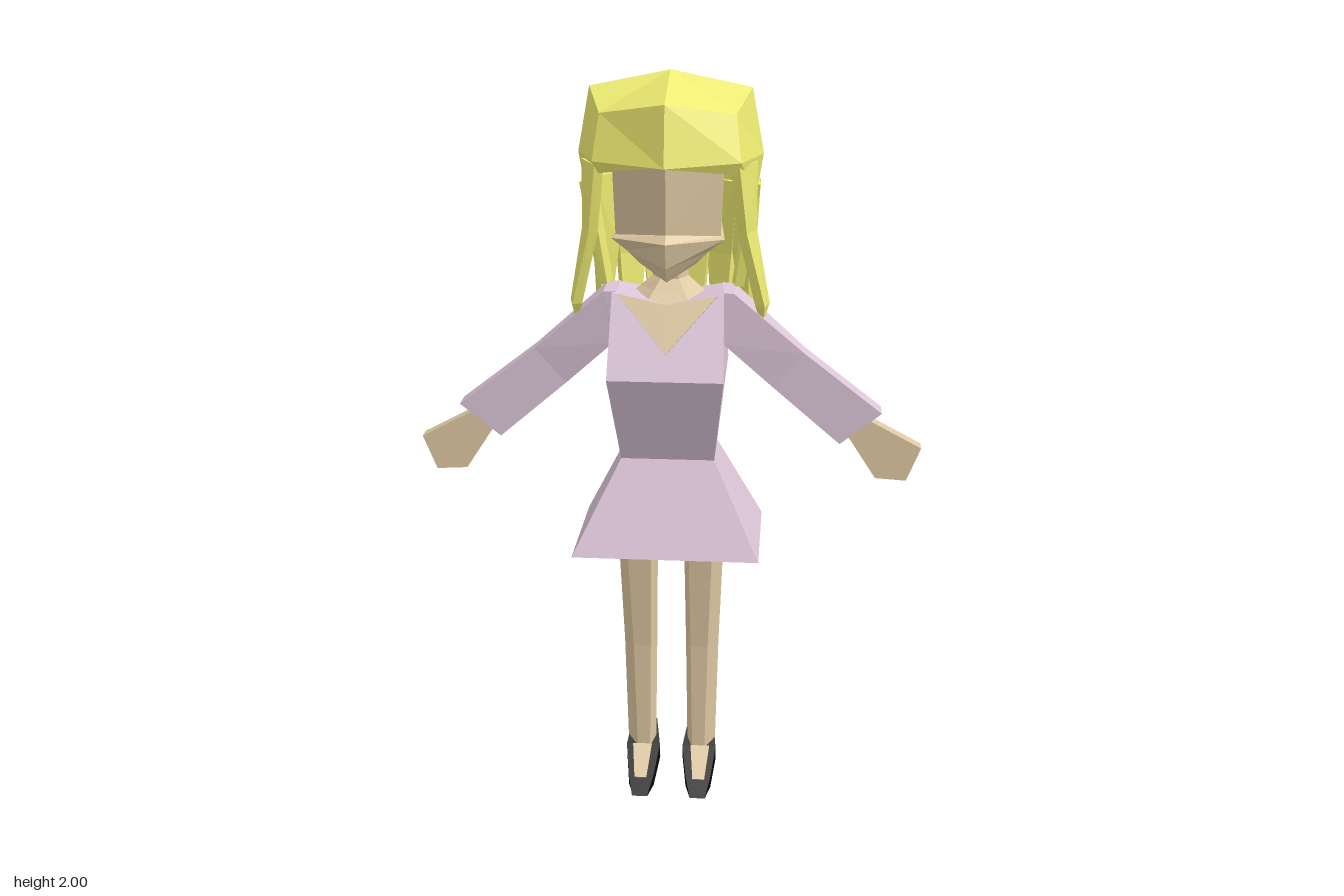
import * as THREE from 'three';

const paint = (color, side = THREE.FrontSide) =>
  new THREE.MeshStandardMaterial({ color, flatShading: true, side });
const skin = paint(0xdec8a2), cloth = paint(0xdcc5d8), shoeBlack = paint(0x0a0a0a);
const hairMat = paint(0xeeec72, THREE.DoubleSide);

// Joins cross-sections (rings of [x, y, z]) into a surface; s = -1 mirrors it across x.
function loft(name, material, rings, { s = 1, start = true, end = true } = {}) {
  const pts = rings.flat().map(([x, y, z]) => new THREE.Vector3(x * s, y, z));
  const n = rings[0].length, tris = [];
  for (let i = 0; i < rings.length - 1; i++) {
    for (let j = 0; j < n; j++) {
      const a = i * n + j, b = i * n + (j + 1) % n;
      tris.push([a, b, b + n], [a, b + n, a + n]);
    }
  }
  const last = (rings.length - 1) * n;
  for (let j = 1; j < n - 1; j++) {
    if (start) tris.push([0, j + 1, j]);
    if (end) tris.push([last, last + j, last + j + 1]);
  }
  // Turn all faces outward
  const centre = pts.reduce((c, p) => c.add(p), new THREE.Vector3()).divideScalar(pts.length);
  let volume = 0;
  for (const t of tris) {
    const [a, b, c] = t.map((k) => pts[k].clone().sub(centre));
    volume += a.dot(b.cross(c));
  }
  if (volume < 0) tris.forEach((t) => t.reverse());
  const geometry = new THREE.BufferGeometry().setFromPoints(pts);
  geometry.setIndex(tris.flat());
  geometry.computeVertexNormals();
  const mesh = new THREE.Mesh(geometry, material);
  mesh.name = name;
  return mesh;
}

// Fills out a symmetric ring from its +x half, front centre to back
function mirrored(half) {
  const other = half.filter((p) => p[0] !== 0).reverse().map(([x, y, z]) => [-x, y, z]);
  return [...half, ...other];
}

// Rectangle at height y
const rect = (y, x0, x1, z0, z1) => [[x0, y, z1], [x1, y, z1], [x1, y, z0], [x0, y, z0]];

const shift = (ring, dx, dy, dz) => ring.map(([x, y, z]) => [x + dx, y + dy, z + dz]);

// Tapering flat lock of hair along [x, y, z, width], lying around the head
function lock(path, s) {
  const rings = path.map(([x, y, z, w]) => {
    const r = Math.hypot(x, z), nx = x / r, nz = z / r, t = Math.min(0.012, w * 0.3);
    const corner = (u, v) => [x + nz * w * u + nx * t * v, y, z - nx * w * u + nz * t * v];
    return [corner(-0.5, -1), corner(0.5, -1), corner(0.5, 1), corner(-0.5, 1)];
  });
  return loft('hairLock', hairMat, rings, { s });
}

function buildHair() {
  const hair = new THREE.Group();
  hair.name = 'hair';
  // Faceted cap with a straight fringe, falling lower at the sides and back
  hair.add(loft('hairCap', hairMat, [
    mirrored([[0, 2, 0], [0.001, 2, 0], [0.002, 2, 0], [0.001, 2, 0], [0, 2, 0]]),
    mirrored([[0, 1.945, 0.2], [0.165, 1.91, 0.105], [0.2, 1.96, 0], [0.145, 1.92, -0.095], [0, 1.97, -0.13]]),
    mirrored([[0, 1.8, 0.23], [0.18, 1.8, 0.14], [0.23, 1.8, 0], [0.18, 1.79, -0.15], [0, 1.79, -0.22]]),
    mirrored([[0, 1.8, 0.2], [0.165, 1.77, 0.13], [0.21, 1.68, 0], [0.175, 1.63, -0.155], [0, 1.6, -0.23]]),
  ], { start: false, end: false }));
  const paths = [
    // beside the face
    [[0.185, 1.79, 0.085, 0.1], [0.195, 1.62, 0.075, 0.065], [0.235, 1.43, 0.055, 0.05], [0.235, 1.4, 0.055, 0.02]],
    // over the ears
    [[0.21, 1.73, -0.01, 0.1], [0.19, 1.6, -0.02, 0.07], [0.17, 1.46, -0.03, 0.05]],
    // behind the ears
    [[0.185, 1.72, -0.12, 0.1], [0.18, 1.52, -0.15, 0.07], [0.195, 1.27, -0.17, 0.02]],
    // back
    [[0.13, 1.7, -0.175, 0.1], [0.12, 1.5, -0.2, 0.075], [0.12, 1.26, -0.175, 0.035]],
    [[0.05, 1.7, -0.215, 0.1], [0.05, 1.5, -0.215, 0.075], [0.045, 1.26, -0.19, 0.035]],
  ];
  for (const s of [1, -1]) paths.forEach((path) => hair.add(lock(path, s)));
  return hair;
}

function buildHead() {
  const head = new THREE.Group();
  head.name = 'head';
  // Wedge-shaped face with a small ledge above the jaw
  head.add(loft('face', skin, [
    mirrored([[0, 1.505, 0.14], [0.07, 1.545, 0.105], [0.05, 1.56, -0.03]]),
    mirrored([[0, 1.545, 0.172], [0.1, 1.575, 0.105], [0.09, 1.58, -0.07]]),
    mirrored([[0, 1.61, 0.192], [0.14, 1.605, 0.1], [0.12, 1.605, -0.11]]),
    mirrored([[0, 1.628, 0.165], [0.13, 1.612, 0.09], [0.12, 1.62, -0.12]]),
    mirrored([[0, 1.8, 0.18], [0.135, 1.8, 0.11], [0.13, 1.8, -0.13]]),
    mirrored([[0, 1.9, 0.15], [0.11, 1.88, 0.08], [0.11, 1.88, -0.08]]),
  ]));
  // Neck spreading into the collar
  const ring = (y, w, f, b) => mirrored([[w / 2, y, f], [w, y, (f + b) / 2], [w / 2, y, b]]);
  head.add(loft('neck', skin, [
    ring(1.43, 0.12, 0.1, -0.05), ring(1.465, 0.075, 0.065, -0.045),
    ring(1.49, 0.045, 0.045, -0.04), ring(1.6, 0.042, 0.045, -0.04),
  ]));
  return head;
}

function buildDress() {
  const dress = new THREE.Group();
  dress.name = 'dress';
  dress.add(loft('bodice', cloth, [
    mirrored([[0, 1.03, 0.11], [0.12, 1.03, 0.11], [0.12, 1.03, -0.05], [0, 1.03, -0.05]]),
    mirrored([[0, 1.27, 0.21], [0.145, 1.27, 0.21], [0.145, 1.25, -0.095], [0, 1.25, -0.095]]),
    mirrored([[0, 1.44, 0.114], [0.14, 1.467, 0.1], [0.135, 1.43, -0.07], [0, 1.43, -0.07]]),
    mirrored([[0, 1.435, 0.1], [0.13, 1.465, 0.08], [0.13, 1.465, -0.02], [0, 1.44, -0.03]]),
  ]));
  dress.add(loft('skirt', cloth, [
    [[-0.24, 0.795, 0.22], [0.24, 0.795, 0.22], [0.24, 0.78, -0.16], [-0.24, 0.78, -0.16]],
    rect(1.03, -0.12, 0.12, -0.05, 0.11),
  ]));
  // Bare skin at the neckline
  const vee = [[0, 1.33, 0.176], [0.125, 1.462, 0.102], [0, 1.44, 0.114], [-0.125, 1.462, 0.102]];
  dress.add(loft('neckline', skin, [shift(vee, 0, -0.002, -0.004), shift(vee, 0, 0.002, 0.004)]));
  return dress;
}

function buildArm(s) {
  const arm = new THREE.Group();
  arm.name = s > 0 ? 'leftArm' : 'rightArm';
  const section = ([tx, ty, bx, by, z0, z1]) => [[tx, ty, z1], [tx, ty, z0], [bx, by, z0], [bx, by, z1]];
  arm.add(loft('sleeve', cloth, [
    [0.13, 1.465, 0.125, 1.31, -0.03, 0.08],
    [0.165, 1.462, 0.14, 1.33, -0.025, 0.078],
    [0.345, 1.305, 0.265, 1.215, 0, 0.06],
    [0.545, 1.15, 0.44, 1.065, 0, 0.06],
  ].map(section), { s }));
  const palm = [[0.49, 1.14, 0.01], [0.65, 1.055, 0.01], [0.615, 0.965, 0.01], [0.535, 0.97, 0.01], [0.45, 1.1, 0.01]];
  arm.add(loft('hand', skin, [palm, shift(palm, 0, 0, 0.04)], { s }));
  return arm;
}

function buildLeg(s) {
  const leg = new THREE.Group();
  leg.name = s > 0 ? 'leftLeg' : 'rightLeg';
  const ring = (y, inner, outer, front, back) => {
    const a = inner + 0.015, b = outer - 0.028, mid = (front + back) / 2;
    return [[a, y, front], [b, y, front], [outer, y, mid], [b, y, back], [a, y, back], [inner, y, mid]];
  };
  leg.add(loft('shin', skin, [
    ring(0.09, 0.045, 0.122, -0.012, -0.07), ring(0.44, 0.04, 0.13, 0.005, -0.07),
    ring(0.84, 0.034, 0.145, 0.053, -0.058),
  ], { s }));
  // High-heeled shoe
  const section = ([x0, x1, top, zt, bottom, zb]) => [[x0, top, zt], [x1, top, zt], [x1, bottom, zb], [x0, bottom, zb]];
  leg.add(loft('shoe', shoeBlack, [
    [0.045, 0.115, 0.162, -0.08, 0.105, -0.075],
    [0.032, 0.126, 0.115, -0.015, 0.07, -0.025],
    [0.045, 0.115, 0.055, 0.05, 0.02, 0.045],
    [0.06, 0.102, 0.014, 0.097, 0, 0.07],
  ].map(section), { s }));
  leg.add(loft('heel', shoeBlack, [
    rect(0, 0.073, 0.087, -0.073, -0.063), rect(0.12, 0.05, 0.11, -0.078, -0.045),
  ], { s }));
  const instep = [[0.055, 0.116, -0.014], [0.108, 0.116, -0.014], [0.098, 0.05, 0.058], [0.065, 0.05, 0.058]];
  leg.add(loft('instep', skin, [shift(instep, 0, -0.005, -0.005), shift(instep, 0, 0.004, 0.004)], { s }));
  return leg;
}

export function createModel() {
  const model = new THREE.Group();
  model.name = 'woman';
  model.add(buildHair(), buildHead(), buildDress());
  for (const s of [1, -1]) model.add(buildArm(s), buildLeg(s));
  return model;
}
